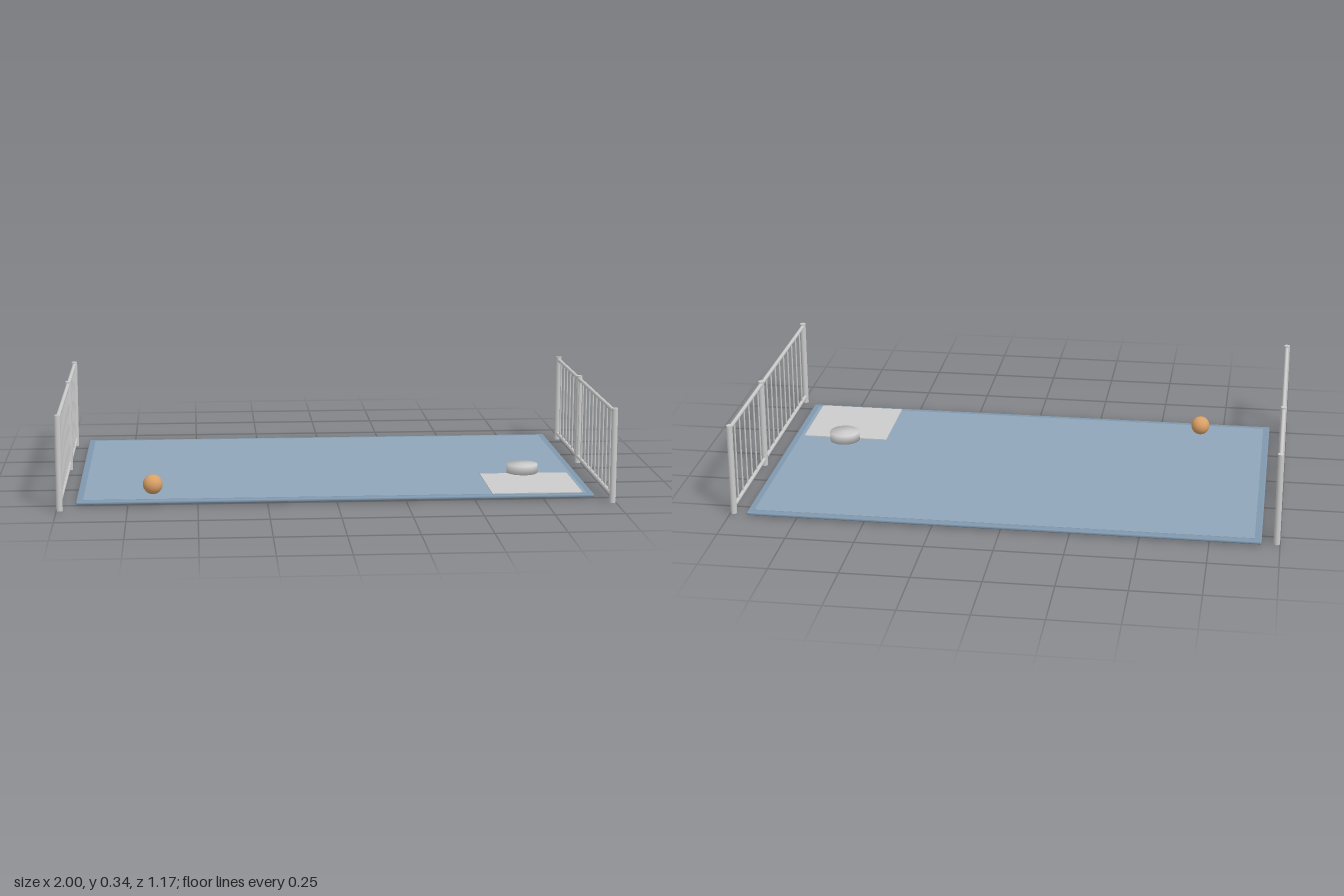
import * as THREE from 'three';
import { RoundedBoxGeometry } from 'three/addons/geometries/RoundedBoxGeometry.js';
import { mergeVertices } from 'three/addons/utils/BufferGeometryUtils.js';

const material = (color) => new THREE.MeshStandardMaterial({ color });
const grey = material(0xcccccc);
const matBlue = material(0x8fa5b9);
const rimBlue = material(0x8098ae);
const orange = material(0xd9a066);

function add(parent, name, geometry, mat, x = 0, y = 0, z = 0) {
  const mesh = new THREE.Mesh(geometry, mat);
  mesh.name = name;
  mesh.position.set(x, y, z);
  parent.add(mesh);
  return mesh;
}

const FENCE_FRONT = 0.576;
const FENCE_BACK = -0.558;

// Railing running along z: three posts, two rails and evenly spaced bars
function createFence(name, x) {
  const fence = new THREE.Group();
  fence.name = name;
  fence.position.x = x;
  const length = FENCE_FRONT - FENCE_BACK;
  const middle = (FENCE_FRONT + FENCE_BACK) / 2;

  const postGeometry = new THREE.CylinderGeometry(0.0115, 0.0115, 0.345, 16);
  for (const z of [FENCE_FRONT, -0.103, FENCE_BACK]) {
    add(fence, 'post', postGeometry, grey, 0, 0.1725, z);
  }

  for (const [railName, y] of [['topRail', 0.332], ['bottomRail', 0.026]]) {
    const rail = new THREE.CylinderGeometry(0.0075, 0.0075, length, 12).rotateX(Math.PI / 2);
    add(fence, railName, rail, grey, 0, y, middle);
  }

  const barGeometry = new THREE.CylinderGeometry(0.0033, 0.0033, 0.306, 8);
  const gaps = 17;
  for (let i = 1; i < gaps; i++) {
    add(fence, 'bar', barGeometry, grey, 0, 0.179, FENCE_FRONT - (length * i) / gaps);
  }
  return fence;
}

export function createModel() {
  const model = new THREE.Group();
  model.name = 'fencedPlayMat';

  // Mat: rounded rim with a slightly thicker panel inside it
  add(model, 'matRim', new RoundedBoxGeometry(1.87, 0.012, 1.1, 3, 0.005), rimBlue, 0, 0.011, -0.035);
  add(model, 'matPanel', new THREE.BoxGeometry(1.82, 0.016, 1.05), matBlue, 0, 0.01, -0.035);

  // Flat sheet in the front left corner
  add(model, 'sheet', new THREE.BoxGeometry(0.33, 0.003, 0.33), grey, 0.73, 0.0195, 0.33);

  // Low round cushion with softly shaded edges
  const cushion = new THREE.CylinderGeometry(0.058, 0.058, 0.035, 32);
  cushion.deleteAttribute('normal');
  cushion.deleteAttribute('uv');
  const softCushion = mergeVertices(cushion);
  softCushion.computeVertexNormals();
  add(model, 'cushion', softCushion, grey, 0.728, 0.0365, 0.15);

  // Ball
  add(model, 'ball', new THREE.SphereGeometry(0.036, 24, 16), orange, -0.662, 0.053, 0.405);

  model.add(createFence('rightFence', -0.9885), createFence('leftFence', 0.9885));
  return model;
}
